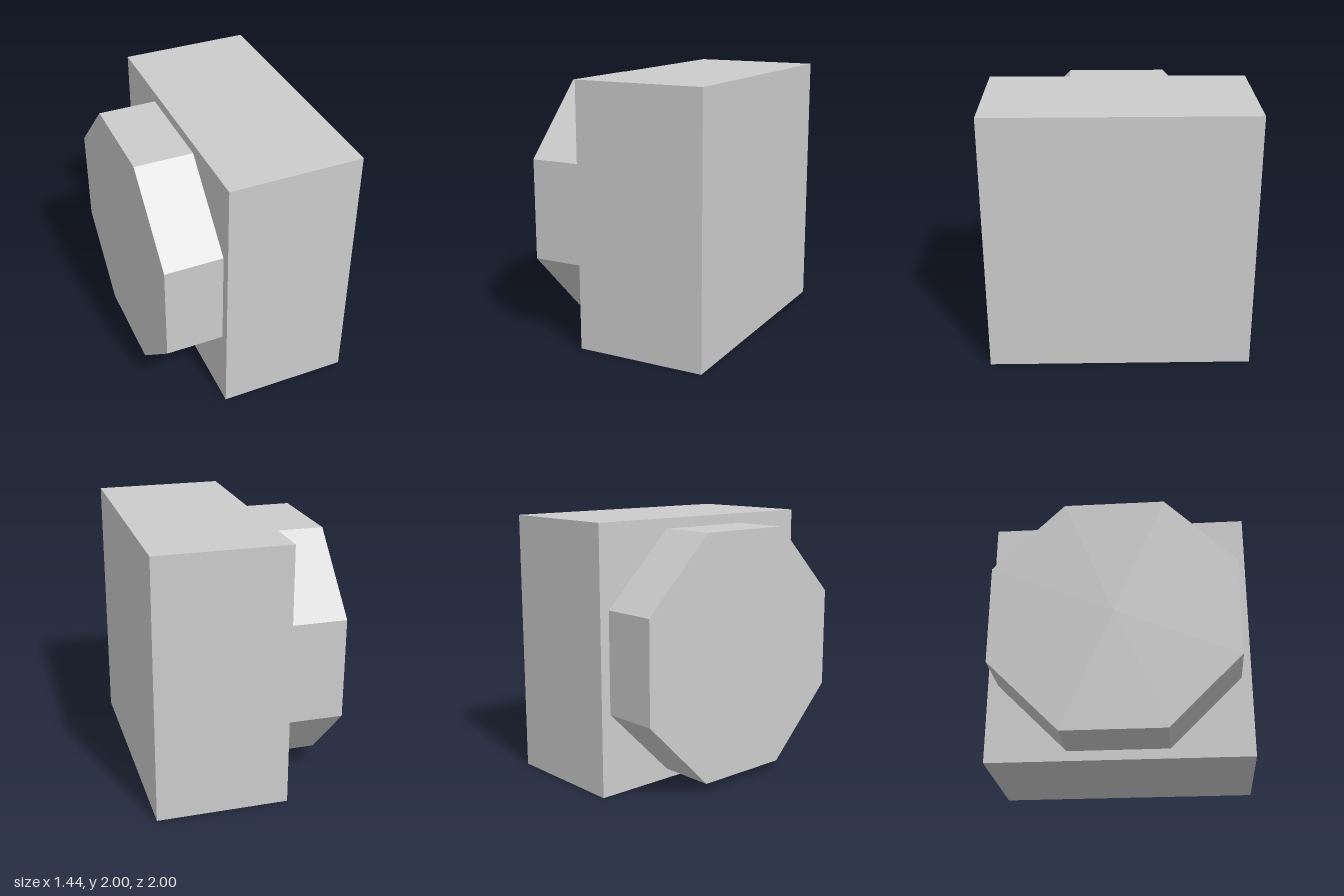
import * as THREE from 'three';

export function createModel() {
  const model = new THREE.Group();
  const material = new THREE.MeshStandardMaterial({ color: 0xcccccc, flatShading: true });

  const add = (name, geometry, x) => {
    const mesh = new THREE.Mesh(geometry, material);
    mesh.name = name;
    mesh.position.set(x, 1, 0);
    model.add(mesh);
  };

  // Square slab
  add('block', new THREE.BoxGeometry(1, 2, 2), 0.22);

  // Eight-sided boss on the slab's -x face, flats facing up and forward
  const boss = new THREE.CylinderGeometry(1, 1, 0.44, 8, 1, false, Math.PI / 8);
  boss.rotateZ(Math.PI / 2);
  add('octagonalBoss', boss, -0.5);

  return model;
}
